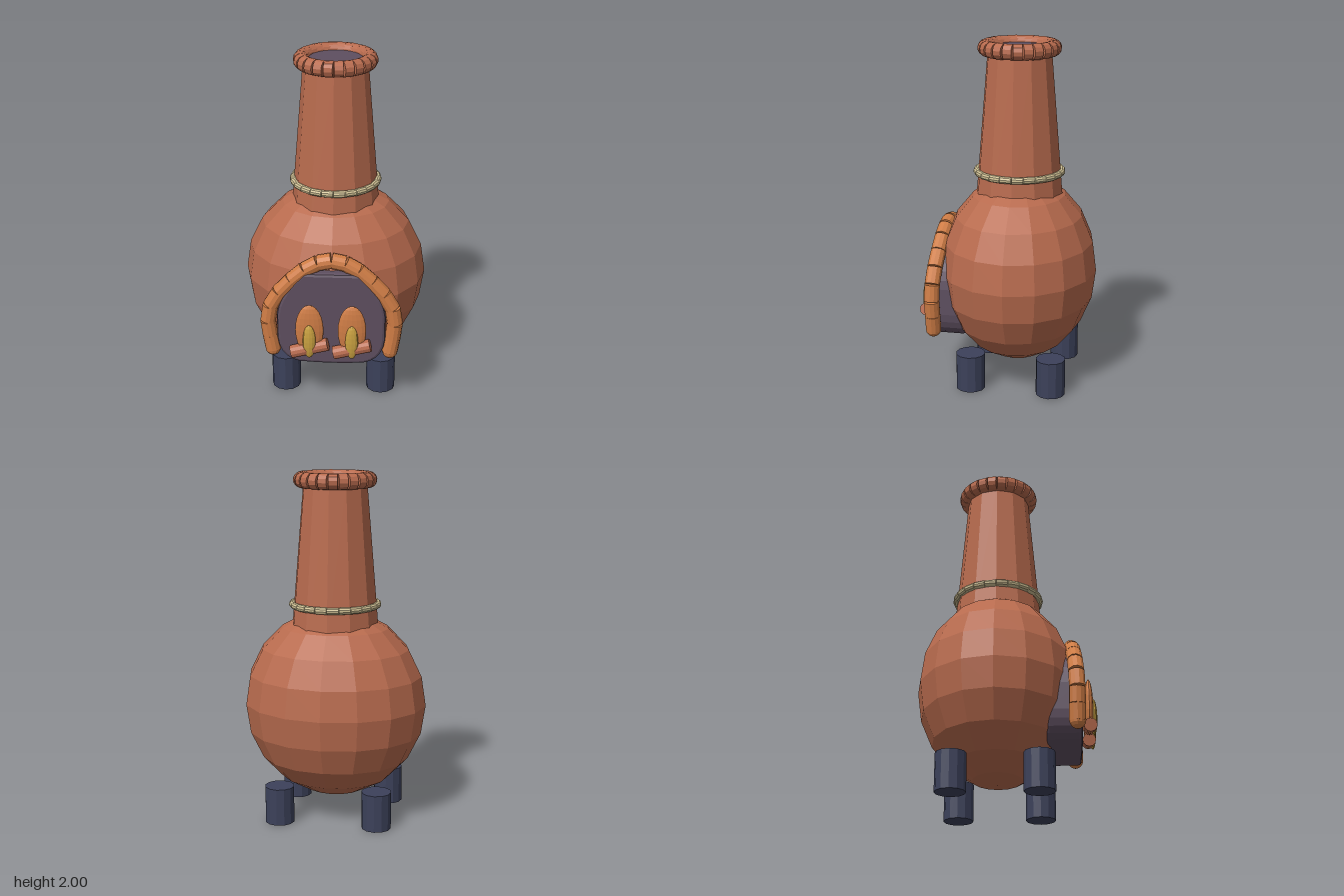
import * as THREE from 'three';

const mat = (name, color) => {
  const m = new THREE.MeshStandardMaterial({ color, flatShading: true });
  m.name = name;
  return m;
};

export function createModel() {
  const clay = mat('terracotta', 0xb86b4e);
  const orange = mat('orange clay', 0xce7c45);
  const soot = mat('soot purple', 0x5e4f60);
  const slate = mat('slate blue', 0x3c415a);
  const cream = mat('cream', 0xcfc094);
  const yellow = mat('flame yellow', 0xc8a040);

  const model = new THREE.Group();
  const CZ = -0.05; // axis of the body and chimney

  const add = (parent, name, geometry, material, x = 0, y = 0, z = 0) => {
    const mesh = new THREE.Mesh(geometry, material);
    mesh.name = name;
    mesh.position.set(x, y, z);
    parent.add(mesh);
    return mesh;
  };
  const ellipsoid = (rx, ry, rz, w, h) => new THREE.SphereGeometry(1, w, h).scale(rx, ry, rz);

  // Chain of short straight rolls between successive points
  const rolls = (name, points, radius, material, sides = 12) => {
    const group = new THREE.Group();
    group.name = name;
    const up = new THREE.Vector3(0, 1, 0);
    for (let i = 0; i < points.length - 1; i++) {
      const dir = points[i + 1].clone().sub(points[i]);
      const mid = points[i].clone().add(points[i + 1]).multiplyScalar(0.5);
      const roll = add(group, name + 'Segment',
        new THREE.CylinderGeometry(radius, radius, dir.length(), sides), material, mid.x, mid.y, mid.z);
      roll.quaternion.setFromUnitVectors(up, dir.normalize());
    }
    model.add(group);
    return group;
  };
  const ring = (r, y, n) => Array.from({ length: n + 1 }, (_, i) => {
    const a = (i / n) * Math.PI * 2;
    return new THREE.Vector3(r * Math.sin(a), y, CZ + r * Math.cos(a));
  });

  // Belly and chimney
  add(model, 'belly', ellipsoid(0.53, 0.55, 0.455, 16, 10), clay, 0, 0.67, CZ);
  add(model, 'chimney', new THREE.CylinderGeometry(0.182, 0.257, 0.9, 12), clay, 0, 1.5, CZ);
  rolls('chimneyRim', ring(0.192, 1.955, 24), 0.045, clay);
  add(model, 'chimneyHole', new THREE.CylinderGeometry(0.16, 0.16, 0.06, 24), soot, 0, 1.935, CZ);
  rolls('neckBand', ring(0.245, 1.25, 24), 0.02, cream, 10);

  // Fire opening: bevelled arched slab
  const shape = new THREE.Shape();
  shape.moveTo(-0.18, 0.31);
  shape.quadraticCurveTo(0, 0.296, 0.18, 0.31);
  shape.quadraticCurveTo(0.28, 0.33, 0.29, 0.45);
  shape.lineTo(0.29, 0.6);
  shape.quadraticCurveTo(0.28, 0.72, 0.15, 0.845);
  shape.lineTo(-0.15, 0.845);
  shape.quadraticCurveTo(-0.28, 0.72, -0.29, 0.6);
  shape.lineTo(-0.29, 0.45);
  shape.quadraticCurveTo(-0.28, 0.33, -0.18, 0.31);
  const opening = new THREE.ExtrudeGeometry(shape, {
    depth: 0.16, curveSegments: 5, bevelThickness: 0.02, bevelSize: 0.018, bevelSegments: 2,
  });
  add(model, 'fireOpening', opening, soot, 0, 0, 0.24);

  // Arch around the opening, mirrored from one half
  const half = [
    [0.335, 0.37, 0.39], [0.35, 0.46, 0.39], [0.36, 0.55, 0.392], [0.345, 0.645, 0.39],
    [0.295, 0.73, 0.386], [0.225, 0.805, 0.381], [0.15, 0.87, 0.376], [0.077, 0.91, 0.372],
  ].map((p) => new THREE.Vector3(...p));
  const mirrored = half.map((p) => new THREE.Vector3(-p.x, p.y, p.z)).reverse();
  const arch = rolls('openingArch', [...half, new THREE.Vector3(0, 0.925, 0.37), ...mirrored], 0.045, orange);
  for (const s of [-1, 1]) {
    add(arch, 'archEnd', new THREE.SphereGeometry(0.045, 12, 8), orange, s * 0.335, 0.37, 0.39);
  }

  // Flames and logs
  for (const s of [-1, 1]) {
    const x = s * 0.12;
    add(model, 'flame', ellipsoid(0.08, 0.16, 0.025, 16, 12), orange, x, 0.53, 0.46);
    add(model, 'flameCore', ellipsoid(0.037, 0.105, 0.02, 12, 10), yellow, x, 0.47, 0.485);
    const log = add(model, 'log', new THREE.CylinderGeometry(0.037, 0.037, 0.215, 12), clay, x, 0.415, 0.463);
    log.rotation.z = -Math.PI / 2 + 0.26;
  }

  // Feet
  for (const x of [-0.282, 0.282]) {
    for (const z of [-0.235, 0.235]) {
      add(model, 'foot', new THREE.CylinderGeometry(0.085, 0.085, 0.215, 12), slate, x, 0.1075, CZ + z);
    }
  }
  return model;
}
